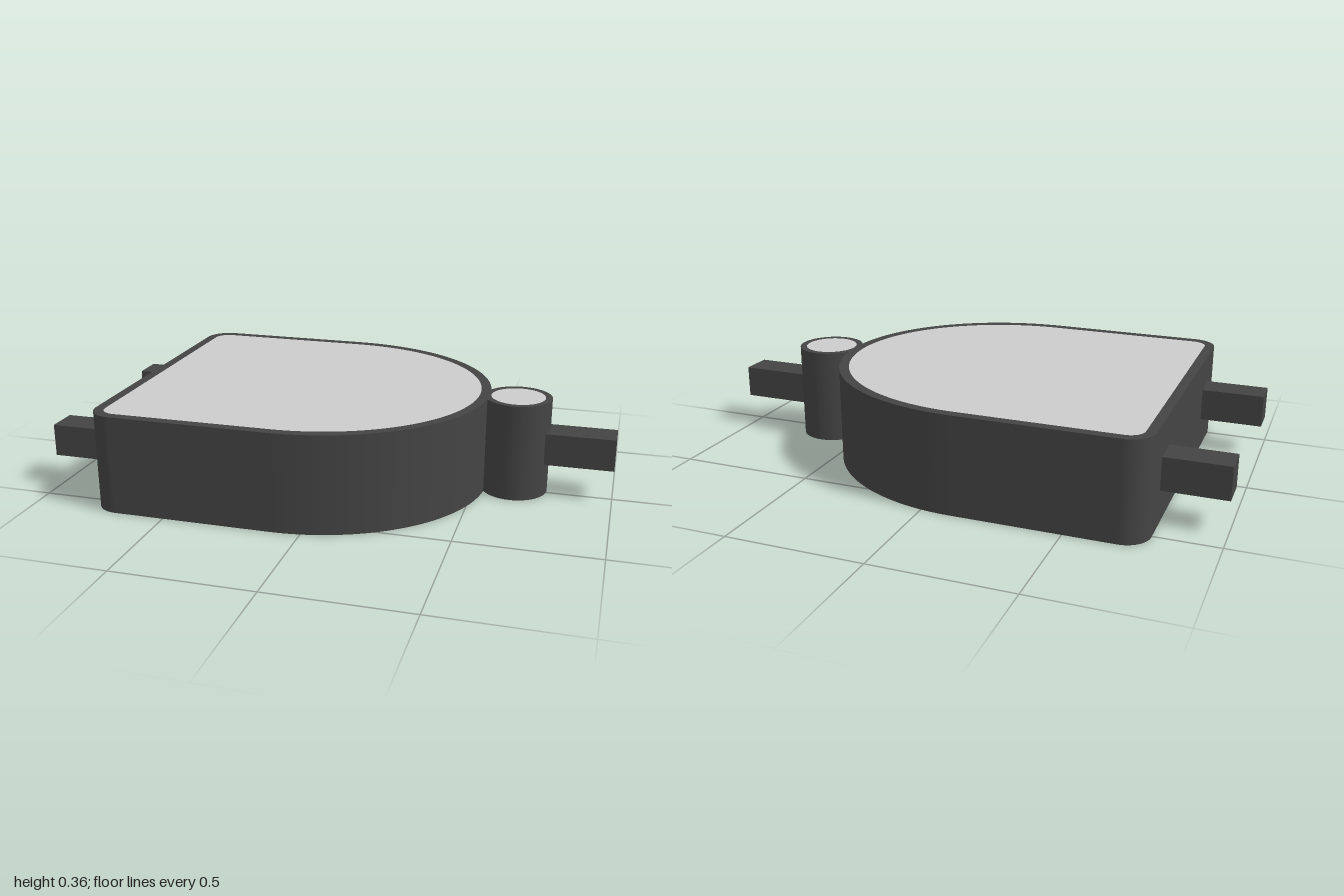
import * as THREE from 'three';

const HEIGHT = 0.357;
const RIM = 0.036;

// Gate outline: flat input side with rounded corners, domed output side
function gateOutline(inset, Type) {
  const s = new Type();
  const left = -0.773 + inset, half = 0.595 - inset, tip = 0.54 - inset;
  const r = 0.09 - inset, start = -0.11;
  s.moveTo(left + r, -half);
  s.lineTo(start, -half);
  s.absellipse(start, 0, tip - start, half, -Math.PI / 2, Math.PI / 2, false, 0);
  s.lineTo(left + r, half);
  s.absarc(left + r, half - r, r, Math.PI / 2, Math.PI, false);
  s.lineTo(left, -half + r);
  s.absarc(left + r, -half + r, r, Math.PI, Math.PI * 1.5, false);
  return s;
}

function circleOutline(radius, Type) {
  const s = new Type();
  s.absarc(0, 0, radius, 0, Math.PI * 2, false);
  return s;
}

// Extrude a plan shape straight up from the ground
function raise(shape) {
  const g = new THREE.ExtrudeGeometry(shape, { depth: HEIGHT, bevelEnabled: false, curveSegments: 40 });
  return g.rotateX(-Math.PI / 2);
}

export function createModel() {
  const group = new THREE.Group();
  const dark = new THREE.MeshStandardMaterial({ color: 0x444444 });
  const light = new THREE.MeshStandardMaterial({ color: 0xcccccc });

  function add(name, geometry, material, x = 0, y = 0, z = 0) {
    const mesh = new THREE.Mesh(geometry, material);
    mesh.name = name;
    mesh.position.set(x, y, z);
    group.add(mesh);
  }

  // A dark wall around a light core that shows above and below
  function rimmed(name, outline, outer, inner, x, z) {
    const wall = outline(outer, THREE.Shape);
    wall.holes.push(outline(inner, THREE.Path));
    add(name + 'Rim', raise(wall), dark, x, 0, z);
    add(name + 'Panel', raise(outline(inner, THREE.Shape)), light, x, 0, z);
  }

  rimmed('body', gateOutline, 0, RIM, 0, 0);
  rimmed('outputBubble', circleOutline, 0.122, 0.098, 0.642, -0.016);

  // Square pins: two inputs and one output
  const pin = (name, x0, x1, z) =>
    add(name, new THREE.BoxGeometry(x1 - x0, 0.118, 0.116), dark, (x0 + x1) / 2, 0.182, z);
  pin('backInputPin', -1, -0.765, -0.353);
  pin('frontInputPin', -1, -0.765, 0.367);
  pin('outputPin', 0.745, 1, -0.02);

  return group;
}
